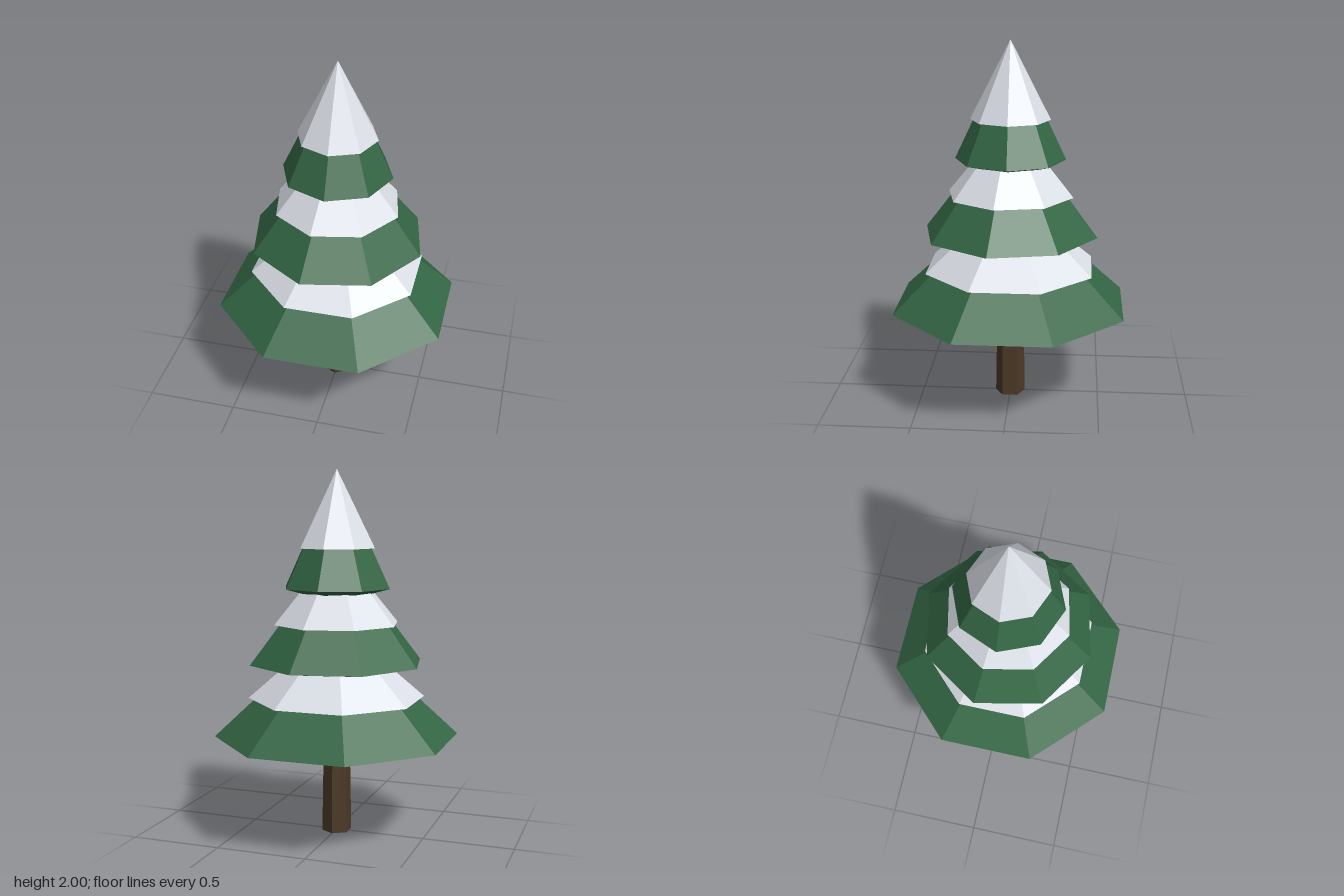
import * as THREE from 'three';

const SIDES = 8;
const RISE = 0.635;   // rim to tip of every tier
const DROP = 0.053;   // depth of the underside below the rim

// Rim radius, rim height and twist of each tier, from the bottom up
const TIERS = [
  { name: 'lower', radius: 0.675, y: 0.545, twist: Math.PI / 8 },
  { name: 'middle', radius: 0.485, y: 0.955, twist: 0.6 },
  { name: 'upper', radius: 0.3, y: 1.365, twist: 0 },
];

function material(name, color) {
  const m = new THREE.MeshStandardMaterial({ color, flatShading: true });
  m.name = name;
  return m;
}

// Adds a faceted frustum standing on height y
function addFrustum(parent, name, mat, top, bottom, height, y, sides) {
  const mesh = new THREE.Mesh(new THREE.CylinderGeometry(top, bottom, height, sides), mat);
  mesh.name = name;
  mesh.position.y = y + height / 2;
  parent.add(mesh);
}

export function createModel() {
  const green = material('pine green', 0x336644);
  const snow = material('snow white', 0xe8ecf4);
  const bark = material('bark brown', 0x4a3826);

  const tree = new THREE.Group();
  tree.name = 'snowyPine';

  // Tapered six-sided trunk, ending inside the lowest tier
  addFrustum(tree, 'trunk', bark, 0.073, 0.083, 0.55, 0, 6);

  for (const { name, radius, y, twist } of TIERS) {
    const tier = new THREE.Group();
    tier.name = `${name}Tier`;
    tier.rotation.y = twist;
    tree.add(tier);

    // Branch cone and the shallow underside tapering in towards the trunk
    addFrustum(tier, 'branches', green, 0, radius, RISE - 0.006, y, SIDES);
    addFrustum(tier, 'underside', green, radius, radius * 0.36, DROP, y - DROP, SIDES);

    // Snow cap over the upper two thirds, slightly wider than the branches
    const start = RISE * 0.338;
    addFrustum(tier, 'snowCap', snow, 0, radius * 0.72, RISE - start, y + start, SIDES);
  }
  return tree;
}
